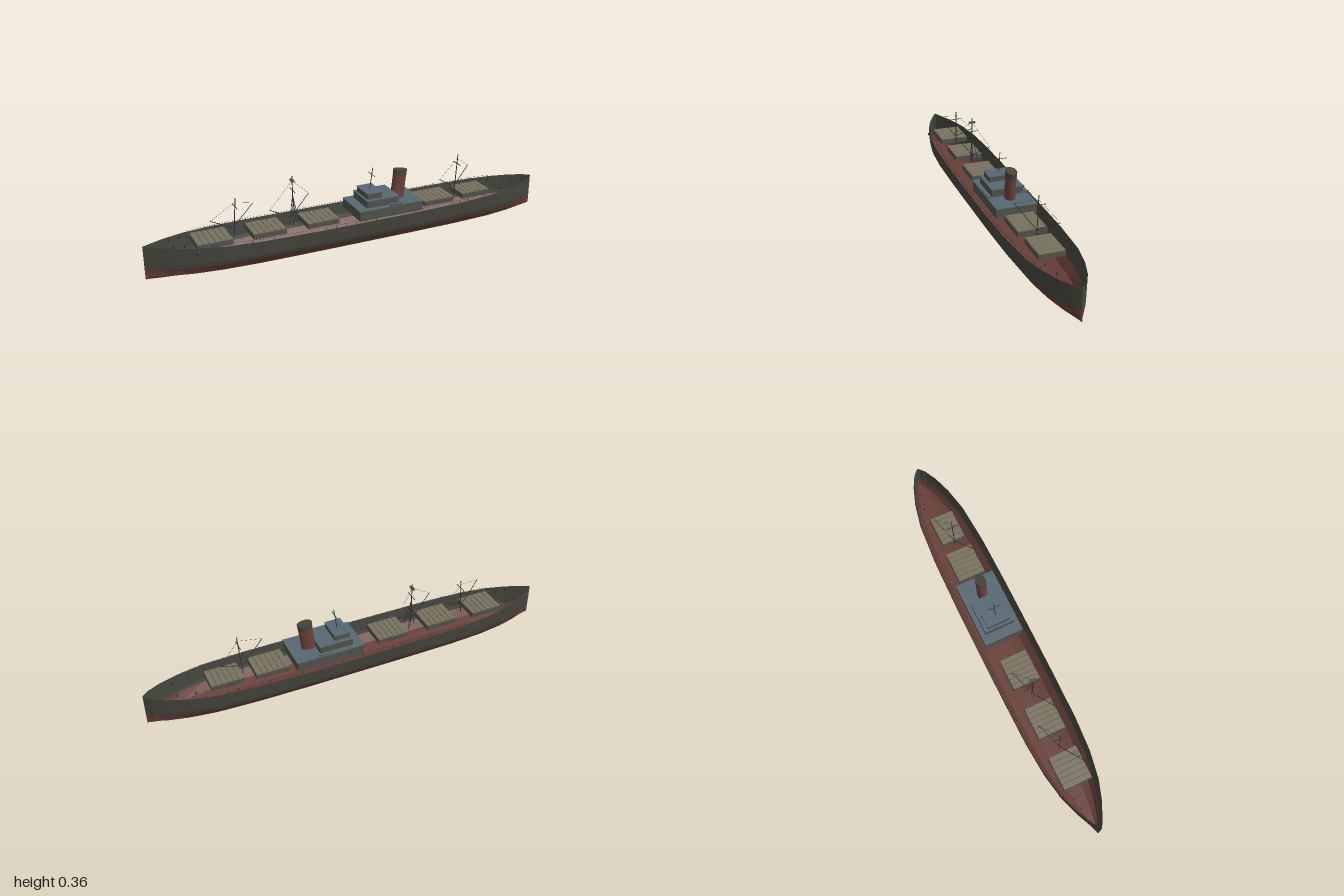
import * as THREE from 'three';

const mat = (name, color, extra = {}) => Object.assign(new THREE.MeshStandardMaterial({ color, ...extra }), { name });

export function createModel() {
  const ship = new THREE.Group();
  ship.name = 'cargoSteamer';
  const two = { side: THREE.DoubleSide, flatShading: true };
  const hullGrey = mat('hull grey', 0x44453d, two);
  const hullRed = mat('bottom red', 0x673e38, two);
  const houseGrey = mat('house grey', 0x4e5148);
  const roofBlue = mat('roof blue grey', 0x576873);
  const hatchTan = mat('hatch tan', 0x78725f);
  const funnelRed = mat('funnel red', 0x6b4038);
  const dark = mat('rigging dark', 0x2f3335);

  const add = (name, geo, material, x = 0, y = 0, z = 0, parent = ship) => {
    const m = new THREE.Mesh(geo, material);
    m.name = name;
    m.position.set(x, y, z);
    parent.add(m);
    return m;
  };
  const box = (name, material, x0, x1, y0, y1, halfZ) =>
    add(name, new THREE.BoxGeometry(x1 - x0, y1 - y0, halfZ * 2), material, (x0 + x1) / 2, (y0 + y1) / 2);
  // straight round bar between two points
  const bar = (name, a, b, r, parent = ship) => {
    const p = new THREE.Vector3(...a), q = new THREE.Vector3(...b);
    const d = q.clone().sub(p);
    const m = add(name, new THREE.CylinderGeometry(r, r, d.length(), 6), dark, 0, 0, 0, parent);
    m.position.copy(p.add(q).multiplyScalar(0.5));
    m.quaternion.setFromUnitVectors(new THREE.Vector3(0, 1, 0), d.normalize());
  };

  // stations along the length: x, half beam
  const stations = [[-1, 0.002], [-0.95, 0.03], [-0.89, 0.06], [-0.8, 0.092], [-0.67, 0.117], [-0.5, 0.13], [-0.25, 0.134],
    [0, 0.135], [0.25, 0.135], [0.5, 0.131], [0.7, 0.117], [0.82, 0.092], [0.91, 0.061], [0.97, 0.03], [1, 0.002]];
  const rimY = x => 0.132 + (x < 0 ? 0.023 : 0.018) * Math.abs(x) ** 3;
  const beamAt = x => {
    const i = Math.max(1, stations.findIndex(s => s[0] >= x));
    const [a, b] = [stations[i - 1], stations[i]];
    return a[1] + (b[1] - a[1]) * (x - a[0]) / (b[0] - a[0]);
  };
  // skin over one cross-section rule: section(x, b) gives [y, z] points
  const loft = (name, material, section) => {
    const pos = [], index = [];
    const n = section(0, 0.135).length;
    stations.forEach(([x, b], i) => {
      for (const [y, z] of section(x, b)) pos.push(x, y, z);
      if (i) for (let j = 0; j < n - 1; j++) {
        const a = (i - 1) * n + j, c = i * n + j;
        index.push(a, c, a + 1, c, c + 1, a + 1);
      }
    });
    const g = new THREE.BufferGeometry();
    g.setAttribute('position', new THREE.Float32BufferAttribute(pos, 3));
    g.setIndex(index);
    g.computeVertexNormals();
    add(name, g, material);
  };

  // open hull shell: red bottom and grey sides, seen inside and out
  loft('hullBottom', hullRed, (x, b) => {
    const half = [[0.05, -0.904 * b], [0.012, -0.69 * b], [0, -0.33 * b]];
    return [...half, ...half.map(([y, z]) => [y, -z]).reverse()];
  });
  for (const s of [1, -1]) {
    loft('hullSide', hullGrey, (x, b) => {
      const p = [[0.05, s * b * 0.904], [0.068, s * b * 0.95], [rimY(x), s * b]];
      return s > 0 ? p : p.reverse();
    });
  }
  // stem and stern posts
  for (const s of [1, -1]) {
    const ends = [s * 0.994, s].sort((a, b) => a - b);
    box('endPostLower', hullRed, ...ends, 0, 0.05, 0.003);
    box('endPostUpper', hullGrey, ...ends, 0.05, rimY(s), 0.003);
  }

  // cargo hatches with planked covers
  for (const [x0, x1, hz] of [[-0.78, -0.62, 0.07], [-0.525, -0.37, 0.068], [-0.265, -0.11, 0.068], [0.34, 0.5, 0.068], [0.555, 0.71, 0.06]]) {
    box('hatchCoaming', houseGrey, x0, x1, 0.12, 0.143, hz);
    const w = (x1 - x0) / 6;
    for (let i = 0; i < 6; i++)
      box('hatchPlank', hatchTan, x0 + i * w + 0.0015, x0 + (i + 1) * w - 0.0015, 0.143, 0.147, hz - 0.002);
  }

  // stepped deckhouse with blue-grey roofs
  for (const [x0, x1, y0, y1, hz] of [[-0.018, 0.313, 0.12, 0.17, 0.095], [0.028, 0.193, 0.17, 0.207, 0.074], [0.037, 0.113, 0.207, 0.235, 0.058]]) {
    box('deckhouse', houseGrey, x0, x1, y0, y1 - 0.003, hz);
    box('deckhouseRoof', roofBlue, x0 - 0.002, x1 + 0.002, y1 - 0.003, y1, hz + 0.002);
  }

  // raked oval funnel with dark top
  const funnel = new THREE.Group();
  funnel.name = 'funnel';
  funnel.position.set(0.221, 0.166, 0);
  funnel.rotation.z = -0.12;
  ship.add(funnel);
  for (const [name, m, r, y, h] of [['funnelBody', funnelRed, 0.034, 0.058, 0.116], ['funnelCap', hullGrey, 0.035, 0.129, 0.026], ['funnelLip', hullGrey, 0.036, 0.14, 0.004]])
    add(name, new THREE.CylinderGeometry(r, r, h, 24), m, 0, y, 0, funnel).scale.z = 0.7;

  // masts with crosstrees, cargo booms and wires
  for (const [x, top, rake, crossY, boomX] of [[-0.595, 0.305, 0.014, 0.265, -0.007], [-0.312, 0.363, 0, 0.295, -0.018], [0.543, 0.33, 0.014, 0.285, -0.007]]) {
    const mast = new THREE.Group();
    mast.name = 'mast';
    mast.position.x = x;
    ship.add(mast);
    const at = y => rake * (y - 0.125) / (top - 0.125);
    bar('mastPole', [0, 0.12, 0], [rake, top, 0], 0.0021, mast);
    bar('crosstree', [at(crossY), crossY, -0.033], [at(crossY), crossY, 0.033], 0.0017, mast);
    for (const s of [1, -1]) {
      const tip = [-s * 0.115 + boomX + 0.003, 0.242, s * 0.056];
      bar('cargoBoom', [boomX / 2, 0.165, 0], tip, 0.0016, mast);
      bar('boomWire', tip, [at(top - 0.02), top - 0.02, 0], 0.0005, mast);
    }
    if (!rake) {
      // braced legs and lookout platform
      for (const s of [1, -1]) bar('mastLeg', [0.023, 0.125, s * 0.024], [0, 0.27, 0], 0.0016, mast);
      bar('mastLeg', [-0.02, 0.125, 0], [0, 0.27, 0], 0.0016, mast);
      add('lookoutPlatform', new THREE.BoxGeometry(0.012, 0.007, 0.034), houseGrey, 0, 0.342, 0, mast);
    }
  }
  bar('signalMast', [0.076, 0.23, 0], [0.092, 0.338, 0], 0.0018);
  bar('signalYard', [0.087, 0.305, -0.033], [0.087, 0.305, 0.033], 0.0016);

  for (const s of [1, -1]) {
    // lifeboats on davits
    add('lifeboat', new THREE.SphereGeometry(1, 12, 6, 0, Math.PI * 2, Math.PI / 2, Math.PI / 2), houseGrey, 0.17, 0.177, s * 0.089)
      .scale.set(0.04, 0.008, 0.008);
    add('lifeboatCover', new THREE.CylinderGeometry(1, 1, 0.1, 12), roofBlue, 0.17, 0.177, s * 0.089).scale.set(0.04, 0.01, 0.008);
    for (const x of [0.142, 0.198]) bar('davit', [x, 0.168, s * 0.088], [x, 0.182, s * 0.101], 0.0014);

    // railing along the bulwark
    let last = null;
    for (let i = 0; i <= 32; i++) {
      const x = -0.8 + i * 0.05, z = s * beamAt(x) * 0.93, y = rimY(x);
      bar('railPost', [x, y - 0.006, z], [x, y + 0.009, z], 0.0007);
      if (last) bar('railWire', last, [x, y + 0.009, z], 0.0004);
      last = [x, y + 0.009, z];
    }

    // anchors and mooring bollards
    add('anchor', new THREE.BoxGeometry(0.009, 0.012, 0.006), dark, -0.79, 0.118, s * 0.095);
    for (const x of [-0.88, -0.83, 0.78, 0.86])
      add('bollard', new THREE.CylinderGeometry(0.0035, 0.0035, 0.012, 8), dark, x, rimY(x) - 0.002, s * beamAt(x) * 0.6);
  }
  return ship;
}
